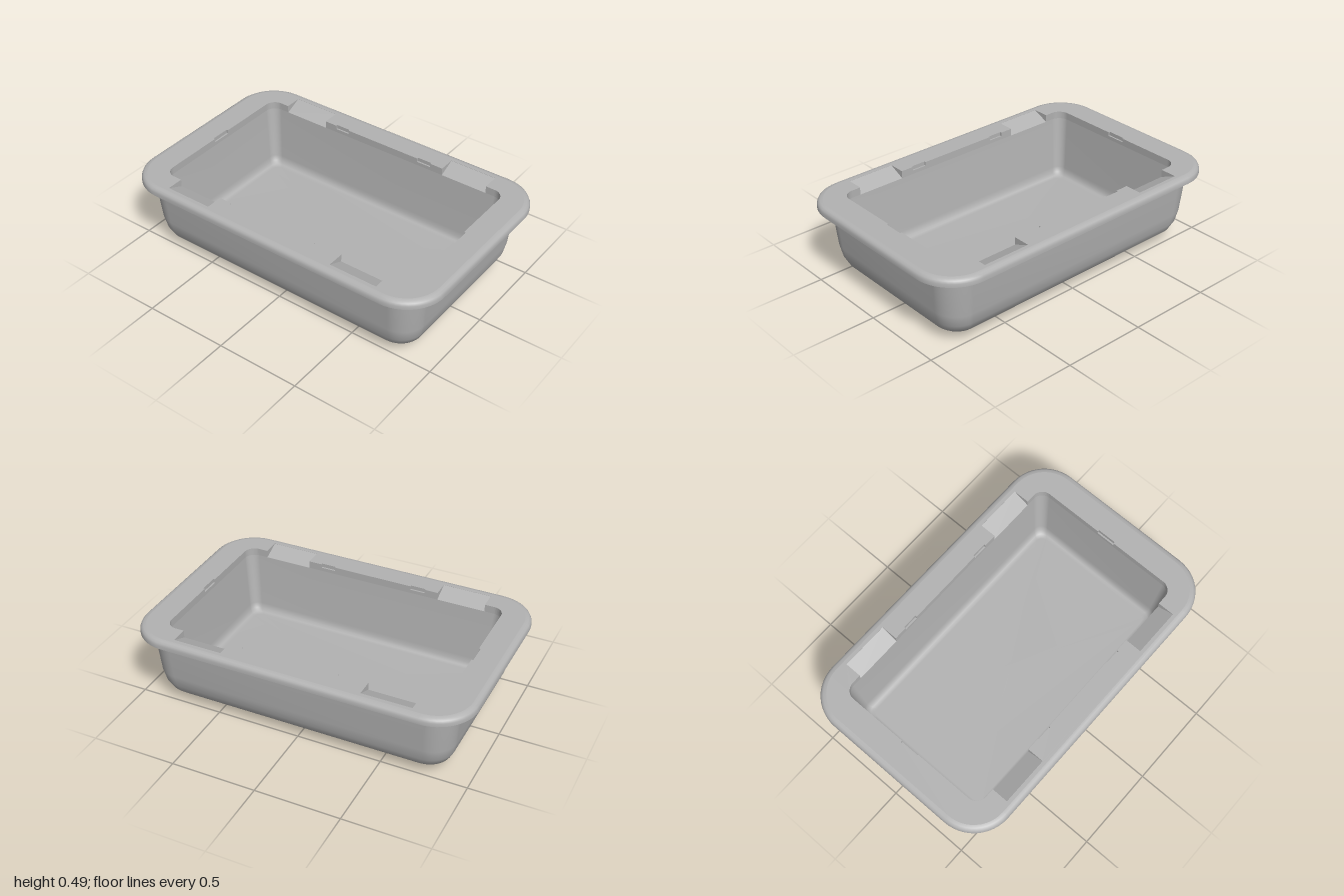
import * as THREE from 'three';

const TOP = 0.49, UNDER = 0.445; // rim top and underside heights
const OPEN_X = 0.825, OPEN_Z = 0.485; // half size of the opening

// Rounded rectangle as [x, z] points; notches(k) may add points after corner k
function ring(hx, hz, r, notches = () => [], segments = 12) {
  const pts = [];
  const signs = [[1, 1], [-1, 1], [-1, -1], [1, -1]];
  signs.forEach(([sx, sz], k) => {
    for (let i = 0; i <= segments; i++) {
      const a = (k + i / segments) * Math.PI / 2;
      pts.push([sx * (hx - r) + r * Math.cos(a), sz * (hz - r) + r * Math.sin(a)]);
    }
    pts.push(...notches(k));
  });
  return pts;
}

// Skin through rounded-rectangle sections [halfX, halfZ, radius, y]
function loft(sections) {
  const pos = [], index = [];
  let n = 0;
  sections.forEach(([hx, hz, r, y]) => {
    const pts = ring(hx, hz, r);
    n = pts.length;
    pts.forEach(([x, z]) => pos.push(x, y, z));
  });
  for (let i = 0; i < sections.length - 1; i++) {
    for (let j = 0; j < n; j++) {
      const a = i * n + j, b = i * n + (j + 1) % n;
      index.push(a, b, a + n, b, b + n, a + n);
    }
  }
  const geo = new THREE.BufferGeometry();
  geo.setAttribute('position', new THREE.Float32BufferAttribute(pos, 3));
  geo.setIndex(index);
  geo.computeVertexNormals();
  return geo;
}

export function createModel() {
  const group = new THREE.Group();
  const grey = new THREE.MeshStandardMaterial({ color: 0xb2b2b2 });
  grey.name = 'light grey';
  const add = (name, geo) => {
    const mesh = new THREE.Mesh(geo, grey);
    mesh.name = name;
    group.add(mesh);
    return mesh;
  };

  // Outer shell: tapered walls rolling into a flat underside
  const outer = [[0, UNDER], [0.02, 0.2], [0.034, 0.13], [0.058, 0.08],
    [0.095, 0.044], [0.14, 0.022], [0.18, 0.015]]
    .map(([d, y]) => [0.915 - d, 0.57 - d * 1.05, 0.15 - d * 0.4, y]);
  add('outerShell', loft([...outer, [0, 0, 0, 0.015]]));

  // Basin: floor, small fillet, then walls up to the rim
  const inner = [[0.078, 0.07], [0.055, 0.075], [0.04, 0.092], [0.032, 0.125], [0, UNDER]]
    .map(([d, y]) => [OPEN_X - d, OPEN_Z - d, 0.065 - d * 0.3, y]);
  add('basin', loft([[0, 0, 0, 0.07], ...inner]));

  // Rounded outer edge of the rim, with a crease at its underside
  const edge = [[0.035, TOP], [0.018, 0.487], [0.006, 0.479], [0, 0.465],
    [0, UNDER], [0, UNDER], [0.04, UNDER]]
    .map(([d, y]) => [1 - d, 0.642 - d, 0.24 - d, y]);
  add('rimEdge', loft(edge));

  // Flat rim with its opening notched for the lid: [from, to, depth]
  const longSide = [[0.705, 0.415, 0.1], [0.335, 0.245, 0.01],
    [-0.245, -0.335, 0.01], [-0.415, -0.705, 0.1]];
  const shortSide = [[0.058, -0.058, 0.01]];
  const place = [
    (u, d) => [u, OPEN_Z + d],
    (u, d) => [-OPEN_X - d, u],
    (u, d) => [-u, -OPEN_Z - d],
    (u, d) => [OPEN_X + d, -u],
  ];
  const notches = (k) => (k % 2 ? shortSide : longSide).flatMap(([a, b, d]) =>
    [place[k](a, 0), place[k](a, d), place[k](b, d), place[k](b, 0)]);
  const toVectors = (pts) => pts.map(([x, z]) => new THREE.Vector2(x, z));
  const rim = new THREE.Shape(toVectors(ring(0.965, 0.607, 0.205)));
  rim.holes.push(new THREE.Path(toVectors(ring(OPEN_X, OPEN_Z, 0.065, notches))));
  const rimGeo = new THREE.ExtrudeGeometry(rim, { depth: TOP - UNDER, bevelEnabled: false });
  add('rim', rimGeo.rotateX(-Math.PI / 2).translate(0, UNDER, 0));

  // Sloped ramps filling the large notches
  const wedge = new THREE.Shape(toVectors([
    [OPEN_Z, UNDER], [OPEN_Z + 0.1, UNDER], [OPEN_Z + 0.1, TOP - 0.001]]));
  for (const turn of [0, Math.PI]) {
    for (const x of [-0.56, 0.56]) {
      const geo = new THREE.ExtrudeGeometry(wedge, { depth: 0.29, bevelEnabled: false });
      geo.rotateY(-Math.PI / 2).translate(x + 0.145, 0, 0).rotateY(turn);
      add('notchRamp', geo);
    }
  }

  // Ledges at the bottom of the small catch notches
  const ledge = (w, d, x, z) =>
    add('catchLedge', new THREE.BoxGeometry(w, 0.022, d)).position.set(x, UNDER + 0.011, z);
  for (const s of [-1, 1]) {
    for (const x of [-0.29, 0.29]) ledge(0.09, 0.01, x, s * (OPEN_Z + 0.005));
    ledge(0.01, 0.116, s * (OPEN_X + 0.005), 0);
  }

  // Underside feet: one long and two short rounded rails per side
  for (const z of [-0.36, 0.36]) {
    for (const [x, length] of [[-0.6, 0.18], [0, 0.58], [0.6, 0.18]]) {
      const geo = new THREE.CapsuleGeometry(0.024, length - 0.048, 6, 16);
      add('footRail', geo.rotateZ(Math.PI / 2)).position.set(x, 0.024, z);
    }
  }
  return group;
}
